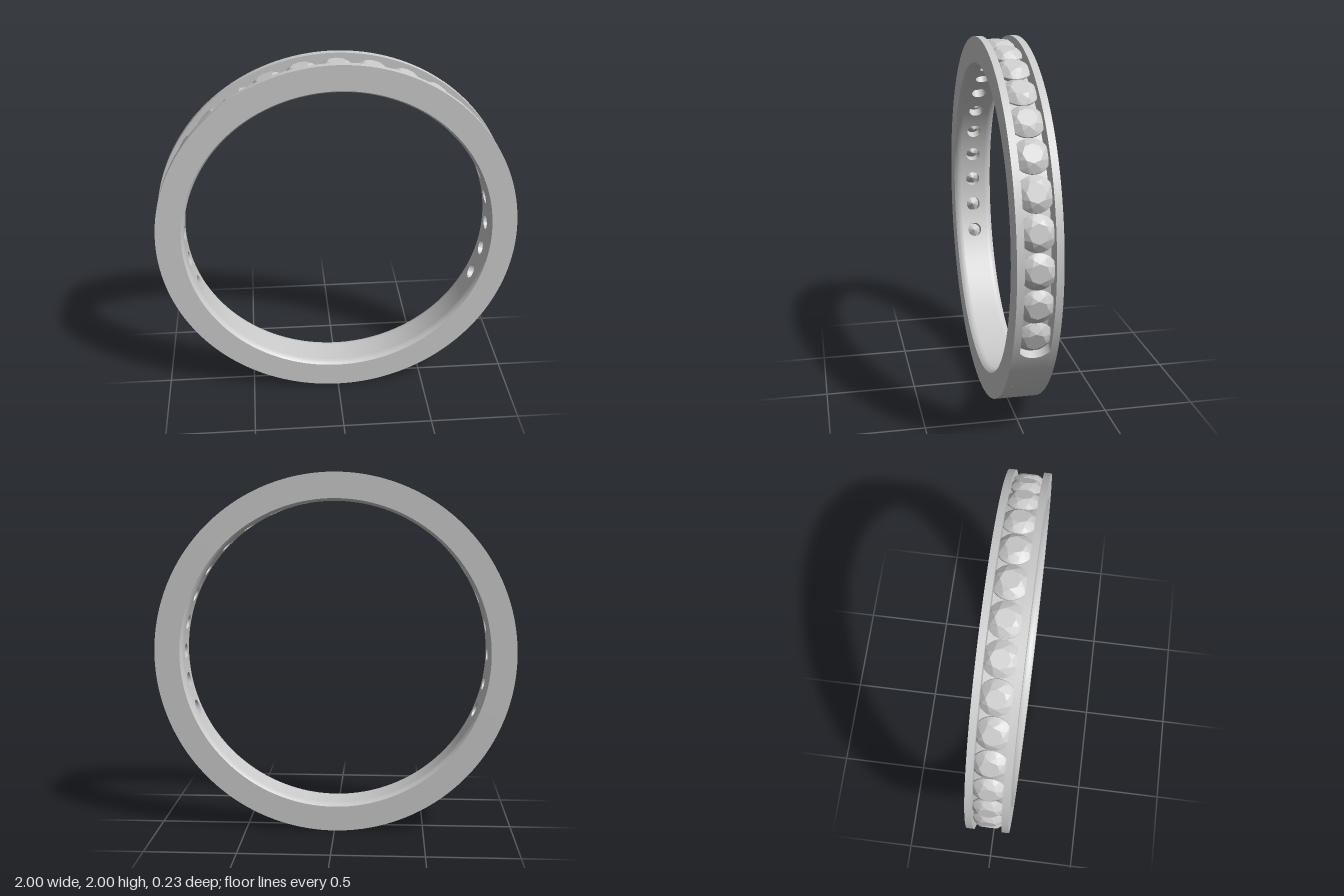
import * as THREE from 'three';
import { toCreasedNormals } from 'three/addons/utils/BufferGeometryUtils.js';
import { ParametricGeometry } from 'three/addons/geometries/ParametricGeometry.js';
import { ConvexGeometry } from 'three/addons/geometries/ConvexGeometry.js';

const OUTER = 1, INNER = 0.845, FACE_INNER = 0.86, FLOOR = 0.9;
const HALF = 0.114, CHANNEL = 0.077;          // half widths of band and channel
const STEP = THREE.MathUtils.degToRad(11.2);  // angle between stones
const SIDE_COUNT = 10;                        // stones on each side of the top one
const HOLE = 0.042, GIRDLE = 0.945, STONE = 0.092;

// Point on the ring from angle, radius and depth
const bend = (angle, r, z, out) => out.set(r * Math.cos(angle), r * Math.sin(angle), z);
const patch = (fn, nu, nv) => new ParametricGeometry(fn, nu, nv);
const lerp = THREE.MathUtils.lerp;

// Closed ring beside the channel, with a softly rounded inner edge
function railGeometry() {
  const points = [[INNER, CHANNEL], [OUTER, CHANNEL], [OUTER, HALF]];
  for (let i = 6; i >= 0; i--) {
    const t = i / 6;
    points.push([lerp(INNER, FACE_INNER, t * t), lerp(CHANNEL, HALF, t)]);
  }
  const lathe = new THREE.LatheGeometry(points.map(p => new THREE.Vector2(...p)), 160);
  return toCreasedNormals(lathe, 0.6).rotateX(Math.PI / 2);
}

// One channel cell surface: from the round hole (t = 0) to the cell border (t = 1)
function cellPoint(t, turn, r, out) {
  const a = turn * Math.PI * 2, c = Math.cos(a), s = Math.sin(a);
  const m = Math.max(Math.abs(c), Math.abs(s));
  return bend(lerp(HOLE * c / r, STEP / 2 * c / m, t), r, lerp(HOLE * s, CHANNEL * s / m, t), out);
}

// Brilliant-cut stone pointing along +x
function stoneGeometry() {
  const points = [new THREE.Vector3(0, -0.08, 0)];
  const ring = (n, r, y, offset = 0) => {
    for (let i = 0; i < n; i++) {
      const a = (i + offset) / n * Math.PI * 2;
      points.push(new THREE.Vector3(r * Math.cos(a), y, r * Math.sin(a)));
    }
  };
  ring(8, 0.05, 0.038);        // table
  ring(8, 0.072, 0.024, 0.5);  // crown
  ring(32, STONE, 0.004);      // girdle
  ring(32, STONE, -0.004);
  ring(8, 0.045, -0.045, 0.5); // pavilion
  return new ConvexGeometry(points).rotateZ(-Math.PI / 2).translate(GIRDLE, 0, 0);
}

export function createModel() {
  const model = new THREE.Group();
  const ring = new THREE.Group();
  ring.name = 'ring';
  ring.position.y = 1;
  model.add(ring);
  const metal = new THREE.MeshStandardMaterial({ color: 0xcccccc, side: THREE.DoubleSide });
  const gem = new THREE.MeshStandardMaterial({ color: 0xcccccc, flatShading: true });
  const add = (parent, name, geometry, material = metal) => {
    const mesh = new THREE.Mesh(geometry, material);
    mesh.name = name;
    parent.add(mesh);
    return mesh;
  };

  // Front and back rails
  const rail = railGeometry();
  add(ring, 'frontRail', rail).rotation.y = Math.PI;
  add(ring, 'backRail', rail);

  // Plain lower band between the rails
  const start = Math.PI / 2 + (SIDE_COUNT + 0.5) * STEP;
  const end = Math.PI * 2.5 - (SIDE_COUNT + 0.5) * STEP;
  const band = (t, w, r, p) => bend(lerp(start, end, t), r, lerp(-CHANNEL, CHANNEL, w), p);
  add(ring, 'lowerBandOutside', patch((u, v, p) => band(u, v, OUTER, p), 64, 1));
  add(ring, 'lowerBandInside', patch((u, v, p) => band(v, u, INNER, p), 1, 64));

  // Repeated setting: pierced floor, hole wall and stone
  const floor = patch((u, v, p) => cellPoint(u, v, FLOOR, p), 3, 32);
  const inside = patch((u, v, p) => cellPoint(v, u, INNER, p), 32, 3);
  const hole = patch((u, v, p) => cellPoint(0, v, lerp(INNER, FLOOR, u), p), 1, 32);
  const stone = stoneGeometry();
  for (let i = -SIDE_COUNT; i <= SIDE_COUNT; i++) {
    const setting = new THREE.Group();
    setting.name = 'stoneSetting';
    setting.rotation.z = Math.PI / 2 + i * STEP;
    add(setting, 'channelFloor', floor);
    add(setting, 'insideSurface', inside);
    add(setting, 'holeWall', hole);
    add(setting, 'stone', stone, gem);
    ring.add(setting);
  }

  // Rounded ends of the channel
  const depth = v => lerp(-CHANNEL, CHANNEL, v);
  const edge = v => Math.sqrt(0.0925 ** 2 - depth(v) ** 2) / 0.95;
  const cap = patch((u, v, p) => bend(lerp(edge(v), STEP / 2, u), OUTER, depth(v), p), 3, 20);
  const wall = patch((u, v, p) => bend(edge(v), lerp(FLOOR, OUTER, u), depth(v), p), 1, 20);
  for (const side of [-1, 1]) {
    const channelEnd = new THREE.Group();
    channelEnd.name = side > 0 ? 'rightChannelEnd' : 'leftChannelEnd';
    channelEnd.rotation.z = Math.PI / 2 + side * SIDE_COUNT * STEP;
    const turned = new THREE.Group();
    turned.rotation.x = side > 0 ? 0 : Math.PI;
    add(turned, 'endCap', cap);
    add(turned, 'endWall', wall);
    channelEnd.add(turned);
    ring.add(channelEnd);
  }
  return model;
}
